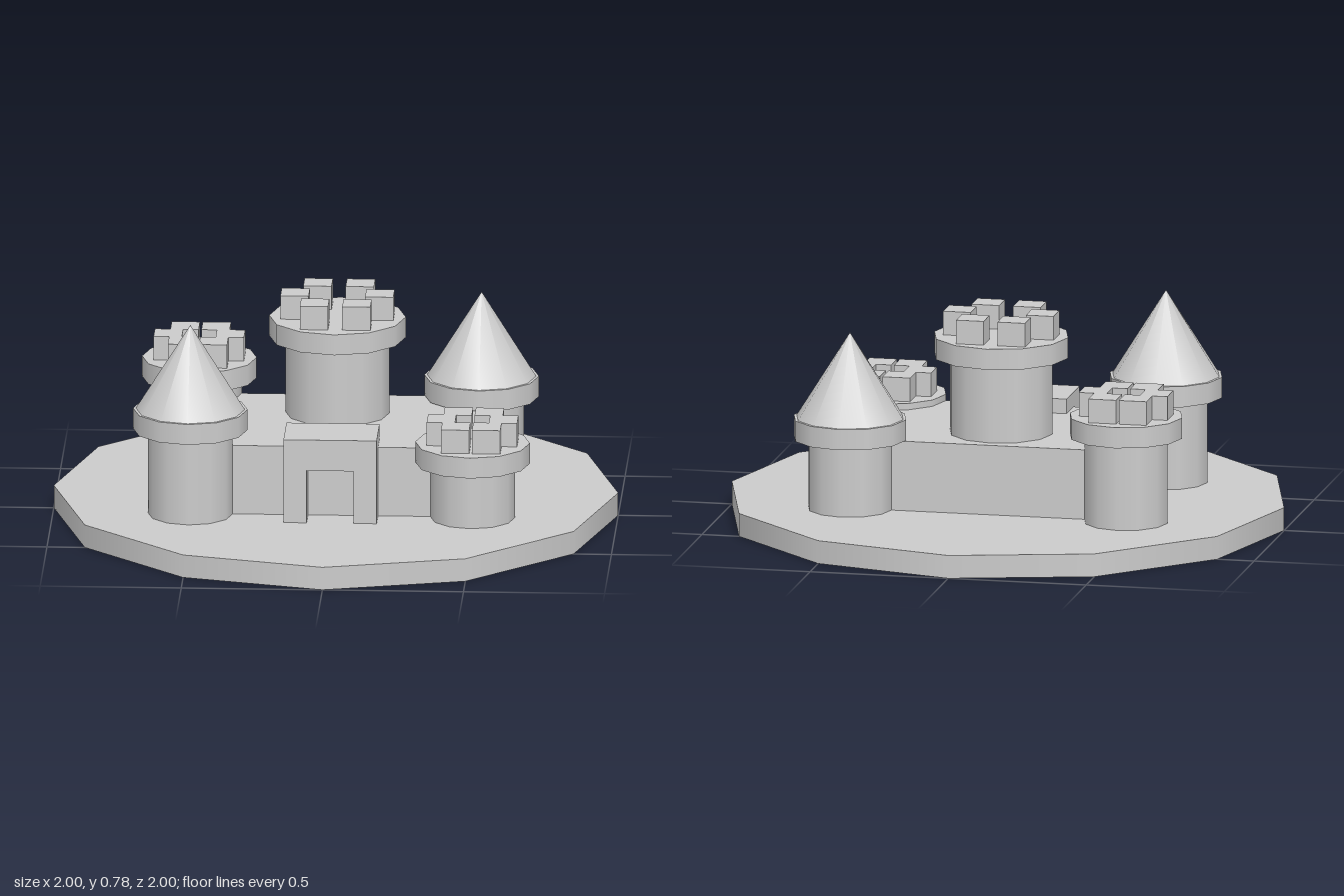
import * as THREE from 'three';

const stone = new THREE.MeshStandardMaterial({ color: 0xcccccc });
stone.name = 'stone';

const BASE = 0.083; // top of the ground disc
const SIDES = 12;
const MERLON = 0.1;
const MERLON_H = 0.086;
const RING_H = 0.075;

function add(parent, name, geometry, x, y, z) {
  const mesh = new THREE.Mesh(geometry, stone);
  mesh.name = name;
  mesh.position.set(x, y, z);
  parent.add(mesh);
  return mesh;
}

// Upright cylinder or cone between two heights
function drum(parent, name, rTop, rBottom, y0, y1) {
  return add(parent, name, new THREE.CylinderGeometry(rTop, rBottom, y1 - y0, SIDES), 0, (y0 + y1) / 2, 0);
}

// Six square merlons in a hexagon
function merlons(parent, radius, y) {
  for (let i = 0; i < 6; i++) {
    const a = (i * Math.PI) / 3;
    add(parent, 'merlon', new THREE.BoxGeometry(MERLON, MERLON_H, MERLON),
      Math.cos(a) * radius, y + MERLON_H / 2, Math.sin(a) * radius);
  }
}

// Round tower with a wider ring, topped by a cone roof or merlons
function tower(name, { x, z, ringY, radius, ringRadius, roof, merlonRadius }) {
  const group = new THREE.Group();
  group.name = name;
  group.position.set(x, 0, z);
  const top = ringY + RING_H;
  drum(group, 'towerBody', radius, radius, BASE, ringY);
  drum(group, 'towerRing', ringRadius, ringRadius, ringY, top);
  if (roof) drum(group, 'coneRoof', 0, 0.193, top, top + 0.308);
  else merlons(group, merlonRadius, top);
  return group;
}

export function createModel() {
  const castle = new THREE.Group();
  castle.name = 'castle';

  drum(castle, 'groundDisc', 1, 1, 0, BASE);

  // Solid walled block
  const wallTop = 0.335;
  add(castle, 'walls', new THREE.BoxGeometry(1, wallTop - BASE, 0.667), 0, (wallTop + BASE) / 2, 0);

  // Gatehouse with a square doorway
  const gate = new THREE.Shape();
  [[-0.165, BASE], [-0.083, BASE], [-0.083, 0.275], [0.083, 0.275],
    [0.083, BASE], [0.165, BASE], [0.165, 0.388], [-0.165, 0.388]]
    .forEach(([x, y], i) => (i ? gate.lineTo(x, y) : gate.moveTo(x, y)));
  gate.closePath();
  add(castle, 'gatehouse', new THREE.ExtrudeGeometry(gate, { depth: 0.218, bevelEnabled: false }), 0, 0, 0.218);

  // Corner towers
  const corner = { radius: 0.15, ringRadius: 0.203, merlonRadius: 0.11 };
  castle.add(tower('frontRightTower', { ...corner, x: -0.5, z: 0.333, ringY: 0.393, roof: true }));
  castle.add(tower('frontLeftTower', { ...corner, x: 0.5, z: 0.333, ringY: 0.283 }));
  castle.add(tower('backRightTower', { ...corner, x: -0.5, z: -0.333, ringY: 0.393 }));
  castle.add(tower('backLeftTower', { ...corner, x: 0.5, z: -0.333, ringY: 0.338, roof: true }));

  // Central keep
  castle.add(tower('keep', { x: 0, z: -0.112, ringY: 0.613, radius: 0.185, ringRadius: 0.242, merlonRadius: 0.15 }));

  return castle;
}
